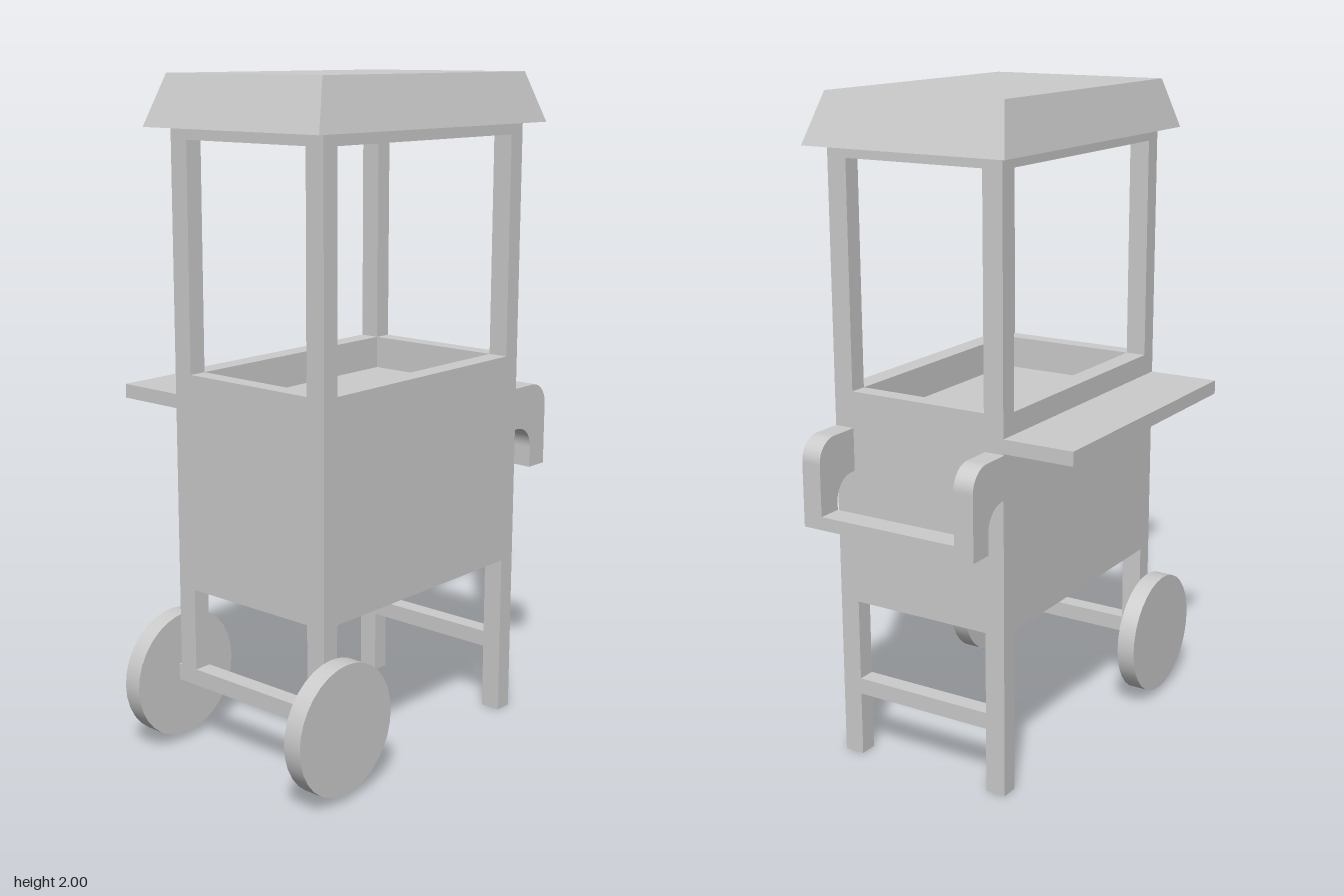
import * as THREE from 'three';

const BACK = -0.208, FRONT = 0.368, SIDE = 0.445; // outer faces of the cart
const POST_X = 0.055, POST_Z = 0.063;

export function createModel() {
  const cart = new THREE.Group();
  cart.name = 'vendorCart';
  const grey = new THREE.MeshStandardMaterial({ color: 0xcccccc, flatShading: true });
  const smoothGrey = new THREE.MeshStandardMaterial({ color: 0xcccccc });

  const add = (name, geometry, material = grey) => {
    const mesh = new THREE.Mesh(geometry, material);
    mesh.name = name;
    cart.add(mesh);
    return mesh;
  };
  // Box given by its limits on each axis
  const box = (name, x0, x1, y0, y1, z0, z1) =>
    add(name, new THREE.BoxGeometry(x1 - x0, y1 - y0, z1 - z0)
      .translate((x0 + x1) / 2, (y0 + y1) / 2, (z0 + z1) / 2));

  const inX = SIDE - POST_X, inBack = BACK + POST_Z, inFront = FRONT - POST_Z;

  // Cabinet with a shallow tray sunk into its top
  box('cabinet', -SIDE, SIDE, 0.5, 1.05, BACK, FRONT);
  box('trayRimFront', -SIDE, SIDE, 1.05, 1.15, inFront, FRONT);
  box('trayRimBack', -SIDE, SIDE, 1.05, 1.15, BACK, inBack);
  box('trayRimLeft', inX, SIDE, 1.05, 1.15, inBack, inFront);
  box('trayRimRight', -SIDE, -inX, 1.05, 1.15, inBack, inFront);

  // Corner posts and legs; the wheeled side has shorter legs
  for (const [z0, z1] of [[BACK, inBack], [inFront, FRONT]]) {
    box('roofPost', inX, SIDE, 1.15, 1.82, z0, z1);
    box('roofPost', -SIDE, -inX, 1.15, 1.82, z0, z1);
    box('longLeg', inX, SIDE, 0, 0.5, z0, z1);
    box('shortLeg', -SIDE, -inX, 0.2, 0.5, z0, z1);
  }
  box('legBrace', inX, SIDE, 0.2, 0.25, inBack, inFront);
  box('axle', -SIDE, -inX, 0.2, 0.25, -0.218, inFront);

  // Wheels
  for (const z of [0.398, -0.247]) {
    const wheel = add('wheel', new THREE.CylinderGeometry(0.193, 0.193, 0.058, 32), smoothGrey);
    wheel.rotation.x = Math.PI / 2;
    wheel.position.set(-0.417, 0.213, z);
  }

  // Roof: top frame and a slab tapering upwards
  box('roofFrame', -SIDE, SIDE, 1.818, 1.855, BACK, FRONT);
  const roof = new THREE.BoxGeometry(1, 0.148, 1);
  const p = roof.attributes.position;
  for (let i = 0; i < p.count; i++) {
    const top = p.getY(i) > 0;
    p.setX(i, Math.sign(p.getX(i)) * (top ? 0.449 : 0.508));
    p.setZ(i, p.getZ(i) > 0 ? (top ? 0.368 : 0.409) : (top ? -0.217 : -0.254));
  }
  roof.translate(0, 1.926, 0);
  roof.computeVertexNormals();
  add('roof', roof);

  // Serving shelf at the back
  box('servingShelf', -SIDE, SIDE, 1.043, 1.085, -0.428, BACK);

  // Push handle: two curved arms and a crossbar
  const arm = new THREE.Shape();
  arm.moveTo(SIDE, 0.91);
  arm.lineTo(0.46, 0.91);
  arm.absarc(0.46, 0.84, 0.07, Math.PI / 2, 0, true);
  arm.lineTo(0.53, 0.775);
  arm.lineTo(0.605, 0.775);
  arm.lineTo(0.605, 0.97);
  arm.absarc(0.535, 0.97, 0.07, 0, Math.PI / 2, false);
  arm.lineTo(SIDE, 1.04);
  arm.closePath();
  for (const z of [-0.212, inFront]) {
    add('handleArm', new THREE.ExtrudeGeometry(arm,
      { depth: POST_Z, bevelEnabled: false, curveSegments: 8 }).translate(0, 0, z));
  }
  box('handleBar', 0.53, 0.605, 0.775, 0.815, -0.149, inFront);

  return cart;
}
